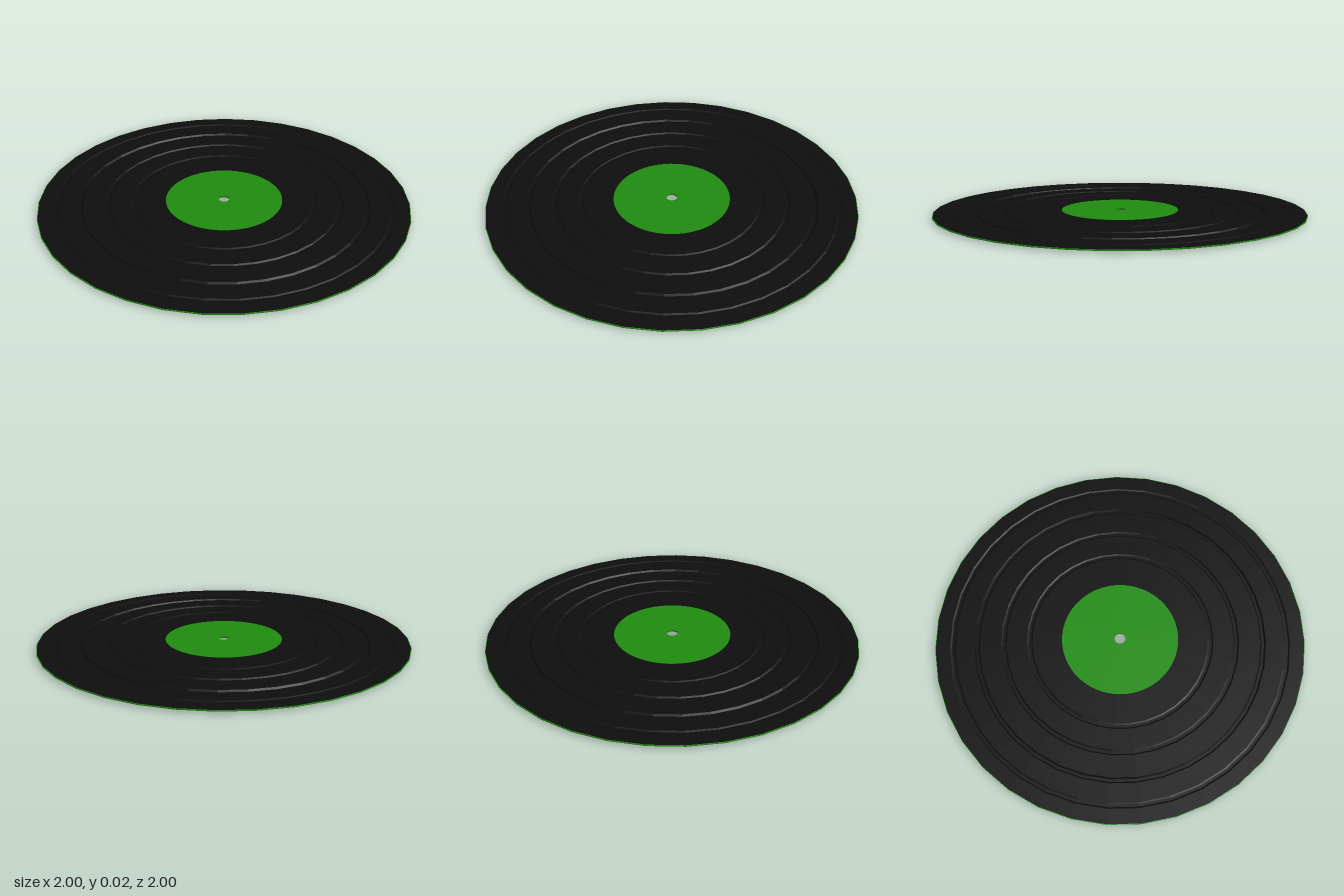
import * as THREE from 'three';

const TOP = 0.016, BOTTOM = 0.009;
const SIDES = 35;
// Pressed groove rings: [radius, depth]
const GROOVES = [[0.49, 0.004], [0.63, 0.006], [0.775, 0.009], [0.905, 0.004]];

const black = new THREE.MeshStandardMaterial({ color: 0x0d0d0d, flatShading: true });
const green = new THREE.MeshStandardMaterial({ color: 0x1f8a10, flatShading: true });

// Revolve a profile of [radius, height] pairs around the spindle axis
function ring(name, profile, sides, material) {
  const points = profile.map(([r, y]) => new THREE.Vector2(r, y));
  const mesh = new THREE.Mesh(new THREE.LatheGeometry(points, sides, Math.PI), material);
  mesh.name = name;
  return mesh;
}

// One face of the record from the label outwards, dipping at every groove
function face(y) {
  const profile = [[0.3, y]];
  for (const [r, depth] of GROOVES) {
    profile.push([r - 0.015, y], [r - 0.007, y - depth], [r + 0.007, y - depth], [r + 0.015, y]);
  }
  profile.push([0.997, y]);
  return profile;
}

export function createModel() {
  const record = new THREE.Group();
  record.name = 'record';

  // Grooved playing surfaces
  record.add(ring('lowerFace', face(BOTTOM), SIDES, black));
  record.add(ring('upperFace', face(TOP).reverse(), SIDES, black));

  // Thin coloured outer edge
  record.add(ring('rim', [[0.997, BOTTOM], [1, BOTTOM + 0.001], [1, TOP - 0.001], [0.997, TOP]], SIDES, green));

  // Label on both sides, pierced by the spindle hole
  const lo = BOTTOM - 0.001, hi = TOP + 0.001;
  record.add(ring('label', [[0.03, lo], [0.315, lo], [0.315, hi], [0.03, hi], [0.03, lo]], 64, green));

  return record;
}
